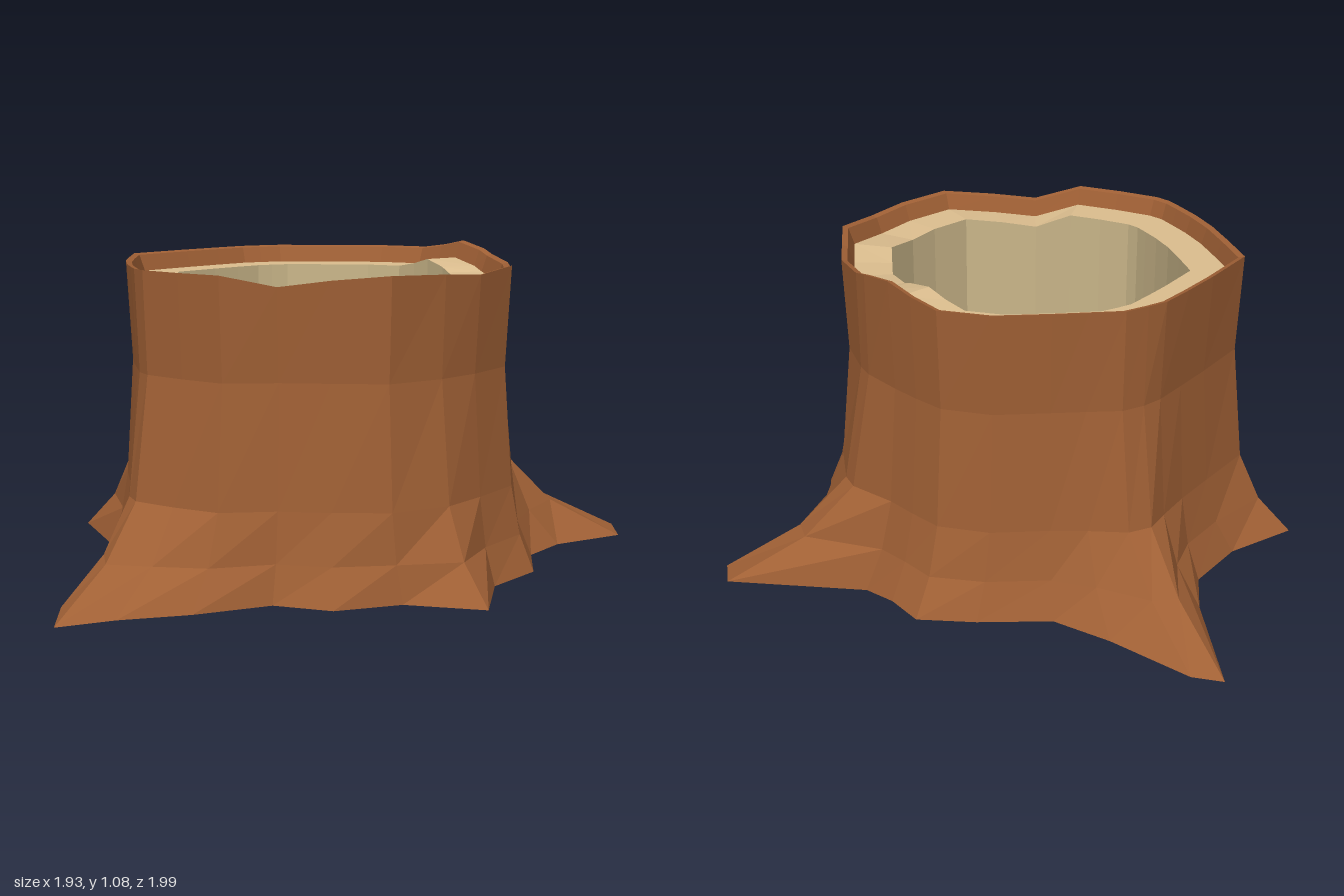
import * as THREE from 'three';

const CENTRE = [-0.095, 0.02];

// Outline of the root flare on the ground, clockwise seen from above (x, z)
const FOOT = [
  [-0.62, -1.0], [-0.52, -0.98], [-0.29, -0.82], [-0.12, -0.72], [0.12, -0.72], [0.31, -0.7],
  [0.39, -0.59], [0.48, -0.48], [0.94, -0.44], [0.96, -0.32], [0.74, -0.09], [0.65, 0.06],
  [0.66, 0.26], [0.54, 0.44], [0.53, 0.69], [0.27, 0.67], [0.07, 0.76], [-0.12, 0.73],
  [-0.34, 0.85], [-0.55, 0.93], [-0.72, 0.99], [-0.75, 0.83], [-0.7, 0.65], [-0.7, 0.39],
  [-0.78, 0.24], [-0.83, 0.03], [-0.97, -0.16], [-0.75, -0.3], [-0.61, -0.48], [-0.59, -0.65],
];

// Outline of the cut rim, column for column above the foot (x, z)
const RIM = [
  [-0.4, -0.57], [-0.33, -0.61], [-0.22, -0.62], [-0.11, -0.63], [0.07, -0.64], [0.23, -0.59],
  [0.31, -0.51], [0.38, -0.43], [0.46, -0.31], [0.49, -0.25], [0.55, -0.08], [0.56, 0.07],
  [0.57, 0.23], [0.48, 0.4], [0.38, 0.52], [0.23, 0.65], [0.05, 0.66], [-0.11, 0.67],
  [-0.28, 0.7], [-0.42, 0.63], [-0.55, 0.55], [-0.59, 0.5], [-0.62, 0.43], [-0.66, 0.33],
  [-0.7, 0.2], [-0.73, 0.05], [-0.76, -0.12], [-0.63, -0.31], [-0.54, -0.43], [-0.46, -0.53],
];

// Columns whose foot or rim leaves the usual height
const FOOT_Y = { 0: 0.01, 1: 0.015, 2: 0.04, 7: 0.025, 8: 0.04, 9: 0.03, 20: 0.04, 23: 0.03, 24: 0, 25: 0.03 };
const RIM_Y = { 6: 1.06, 7: 1.08, 8: 1.06, 10: 1.03, 11: 1.03, 13: 1.03, 14: 1.04, 16: 1.03, 17: 1.01 };
const footY = (i) => FOOT_Y[i] ?? 0.05;
const rimY = (i) => RIM_Y[i] ?? 1.045;

// Ring spreading from the rim outline (spread 0) to the foot outline (spread 1)
function trunkRing(spread, scale, y) {
  return RIM.map(([x, z], i) => {
    const px = CENTRE[0] + (x - CENTRE[0]) * scale;
    const pz = CENTRE[1] + (z - CENTRE[1]) * scale;
    return new THREE.Vector3(
      px + (FOOT[i][0] - px) * spread,
      typeof y === 'function' ? y(i) : y,
      pz + (FOOT[i][1] - pz) * spread,
    );
  });
}

// Skin consecutive rings; a ring of scale 0 closes the surface at its centre
function loft(name, rings, color) {
  const points = [];
  const face = (p, q, r) => {
    if (p.distanceTo(q) > 1e-6 && q.distanceTo(r) > 1e-6 && r.distanceTo(p) > 1e-6) points.push(p, q, r);
  };
  for (let k = 0; k < rings.length - 1; k++) {
    for (let i = 0; i < RIM.length; i++) {
      const j = (i + 1) % RIM.length;
      const a = rings[k][i], b = rings[k][j], c = rings[k + 1][i], d = rings[k + 1][j];
      face(b, a, c);
      face(b, c, d);
    }
  }
  const geometry = new THREE.BufferGeometry().setFromPoints(points);
  geometry.computeVertexNormals();
  const mesh = new THREE.Mesh(geometry, new THREE.MeshStandardMaterial({ color, flatShading: true }));
  mesh.name = name;
  return mesh;
}

export function createModel() {
  const stump = new THREE.Group();
  stump.name = 'hollowStump';

  const bark = 0xa06035, wood = 0xdcbe8f, innerWood = 0xcbb78a;
  const floorY = 0.2;

  // Underside, flaring roots and trunk
  const foot = trunkRing(1, 1, footY);
  const rim = trunkRing(0, 1, rimY);
  stump.add(loft('underside', [trunkRing(0, 0, 0.05), foot], bark));
  stump.add(loft('barkAndRoots', [
    foot,
    trunkRing(0.47, 1, (i) => 0.17 + (footY(i) - 0.05) * 0.3),
    trunkRing(0.13, 1, 0.33),
    trunkRing(0.03, 0.97, 0.72),
    rim,
  ], bark));

  // Raised bark lip around the cut
  const lip = trunkRing(0, 0.97, (i) => rimY(i) - 0.005);
  const cutEdge = trunkRing(0, 0.94, (i) => rimY(i) - 0.06);
  stump.add(loft('barkLip', [rim, lip, cutEdge], bark));

  // Cut wood ring, hollow wall and floor
  const hollowEdge = trunkRing(0, 0.745, (i) => rimY(i) - 0.06);
  const floorEdge = trunkRing(0, 0.745, floorY);
  stump.add(loft('cutWood', [cutEdge, hollowEdge], wood));
  stump.add(loft('hollowWall', [hollowEdge, floorEdge], innerWood));
  stump.add(loft('hollowFloor', [floorEdge, trunkRing(0, 0, floorY)], wood));

  return stump;
}
